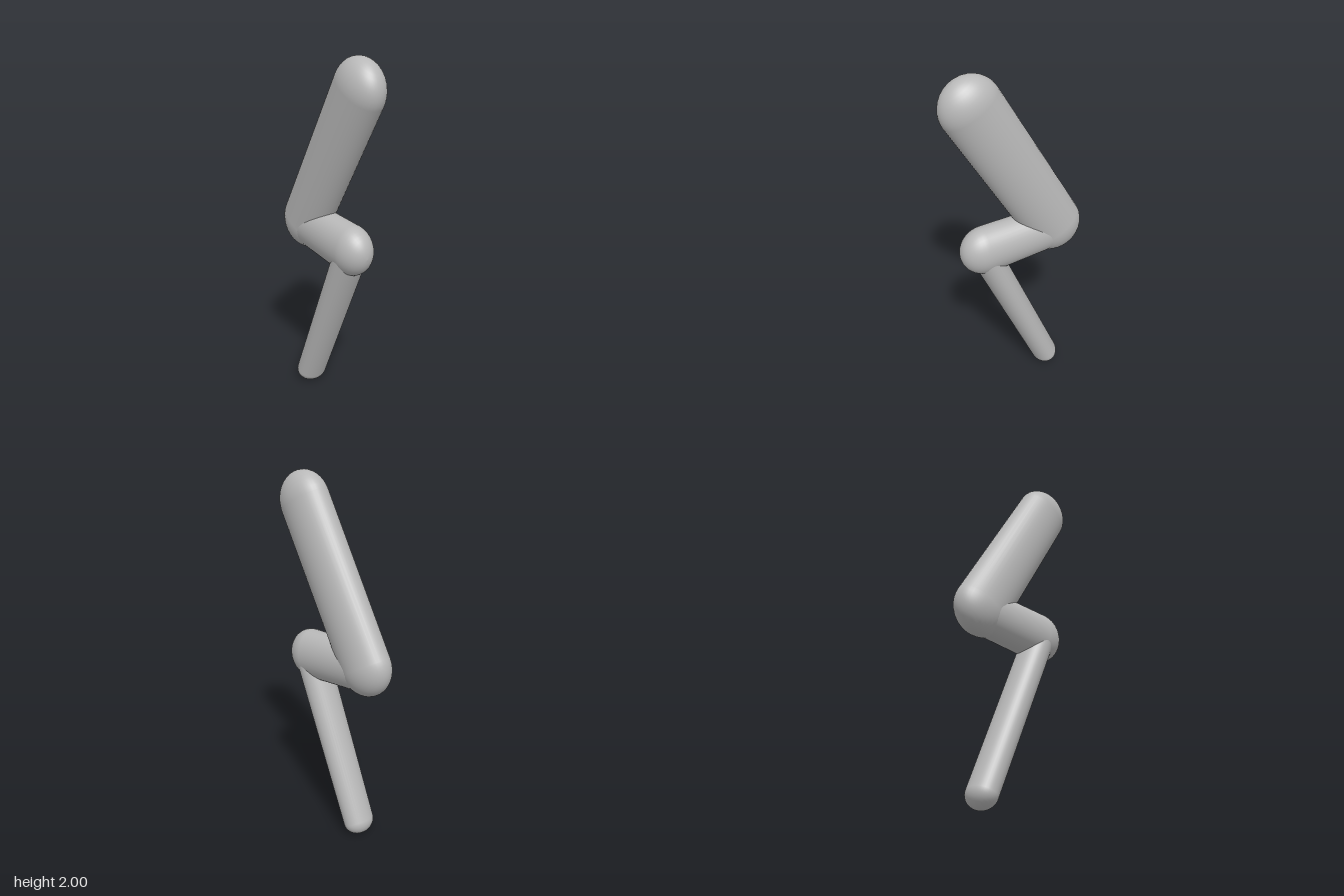
import * as THREE from 'three';

const grey = new THREE.MeshStandardMaterial({ color: 0xb8b8b8 });
grey.name = 'plain grey';

// Round-ended limb from a to b in the xy plane: radii ra and rb, half depth d in z
function limb(name, a, b, ra, rb, d) {
  const start = new THREE.Vector2(...a);
  const dir = new THREE.Vector2(...b).sub(start);
  const len = dir.length();
  const n = 10;
  const profile = [];
  for (let i = 0; i <= n; i++) {
    const t = (i / n) * Math.PI / 2;
    profile.push(new THREE.Vector2(ra * Math.sin(t), -ra * Math.cos(t)));
  }
  for (let i = 0; i <= n; i++) {
    const t = (i / n) * Math.PI / 2;
    profile.push(new THREE.Vector2(rb * Math.cos(t), len + rb * Math.sin(t)));
  }
  const mesh = new THREE.Mesh(new THREE.LatheGeometry(profile, 40), grey);
  mesh.name = name;
  mesh.scale.z = d / Math.max(ra, rb);
  mesh.position.set(start.x, start.y, 0);
  mesh.rotation.z = Math.atan2(-dir.x, dir.y);
  return mesh;
}

export function createModel() {
  const group = new THREE.Group();
  group.name = 'zigzagBolt';
  group.add(
    // Thick slanting top stroke
    limb('upperStroke', [-0.235, 1.045], [0.23, 1.84], 0.16, 0.16, 0.11),
    // Short crossbar
    limb('middleStroke', [-0.22, 1.03], [0.18, 1.0], 0.13, 0.14, 0.108),
    // Slim bottom stroke
    limb('lowerStroke', [-0.2, 0.078], [0.175, 0.96], 0.076, 0.082, 0.1),
  );
  return group;
}
